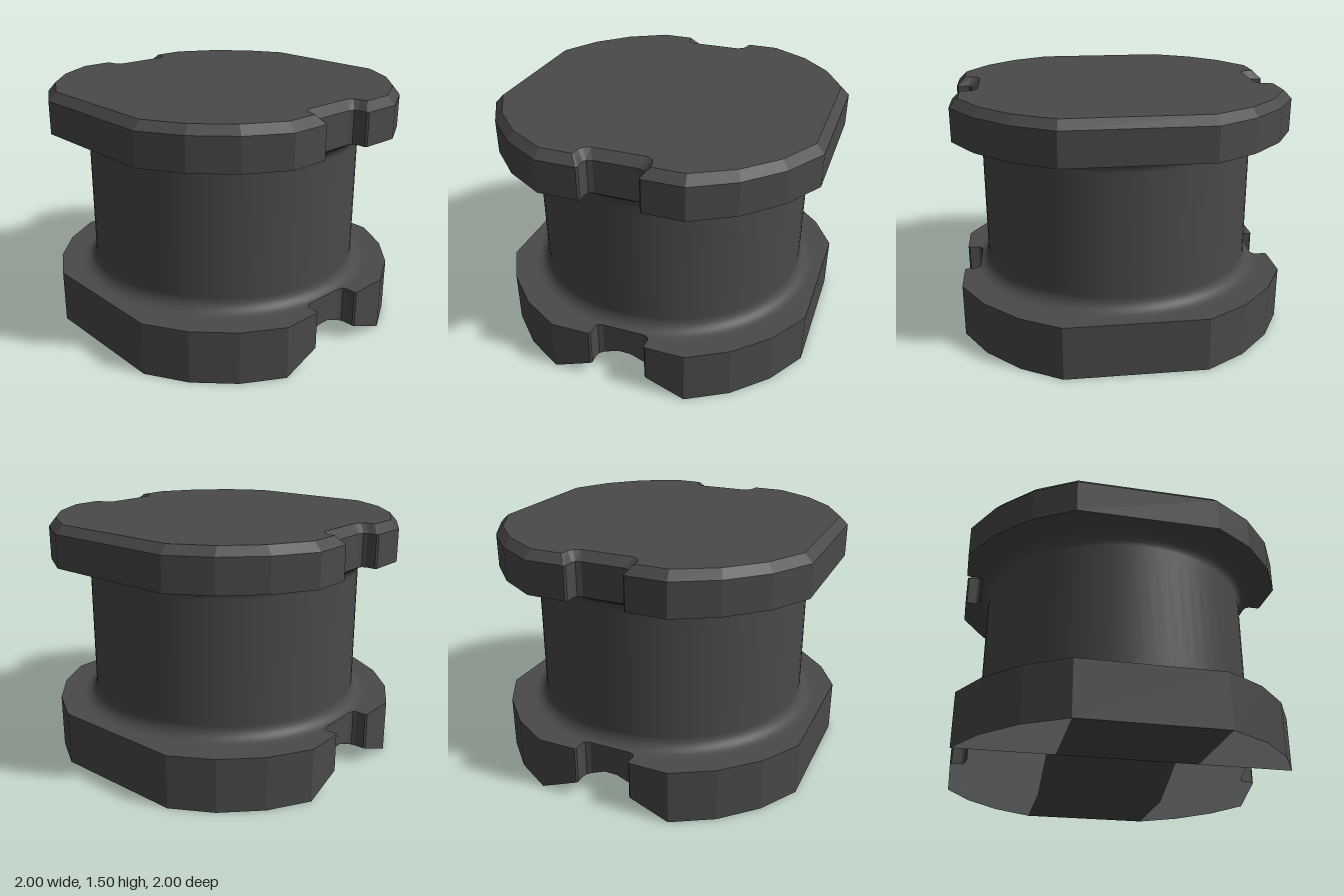
import * as THREE from 'three';

// Quarter outlines as [x, z], from the front flat round to the side notch
const OUTER = [[0.42, 1], [0.66, 0.86], [0.86, 0.66], [1, 0.42], [1, 0.18], [0.99, 0.17],
  [0.93, 0.17], [0.91, 0.16], [0.9, 0.13], [0.9, 0.04]];
const INSET = [[0.41, 0.95], [0.64, 0.82], [0.82, 0.64], [0.95, 0.41], [0.95, 0.22], [0.94, 0.215],
  [0.9, 0.21], [0.87, 0.195], [0.85, 0.16], [0.85, 0.04]];

// Mirror a quarter to the whole +x side, then to a closed ring
const half = (q) => [...q, ...q.map(([x, z]) => [x, -z]).reverse()];
const ring = (q) => [...half(q), ...half(q).map(([x, z]) => [-x, z]).reverse()];

function quad(out, a, b, c, d) {
  for (const [p, q, r] of [[a, b, c], [a, c, d]]) {
    const t = new THREE.Triangle(new THREE.Vector3(...p), new THREE.Vector3(...q), new THREE.Vector3(...r));
    if (t.getArea() > 1e-7) out.push(...p, ...q, ...r);
  }
}

// Wall between two matching outlines; heights are functions of z
function wall(out, qa, ya, qb, yb) {
  const A = ring(qa).map(([x, z]) => [x, ya(z), z]);
  const B = ring(qb).map(([x, z]) => [x, yb(z), z]);
  A.forEach((p, i) => {
    const j = (i + 1) % A.length;
    quad(out, p, A[j], B[j], B[i]);
  });
}

// Face closing an outline in strips along z, limited to lo < x < hi
function cap(out, q, y, up, lo = -2, hi = 2) {
  const rows = half(q).map(([w, z]) => {
    const l = THREE.MathUtils.clamp(-w, lo, hi), r = THREE.MathUtils.clamp(w, lo, hi);
    return [[l, y(z), z], [r, y(z), z]];
  });
  for (let i = 0; i < rows.length - 1; i++) {
    const [a, b] = rows[i], [d, c] = rows[i + 1];
    if (up) quad(out, a, b, c, d);
    else quad(out, d, c, b, a);
  }
}

function toMesh(positions, material, name) {
  const g = new THREE.BufferGeometry();
  g.setAttribute('position', new THREE.Float32BufferAttribute(positions, 3));
  g.computeVertexNormals();
  const m = new THREE.Mesh(g, material);
  m.name = name;
  return m;
}

export function createModel() {
  const ferrite = new THREE.MeshStandardMaterial({ color: 0x4a4a4a });
  ferrite.name = 'dark ferrite';
  const metal = new THREE.MeshStandardMaterial({ color: 0xacafb4 });
  metal.name = 'metal pads';
  const group = new THREE.Group();
  group.name = 'drumInductor';

  const at = (h) => () => h;
  // V-shaped groove across the underside
  const groove = (z) => 0.15 * THREE.MathUtils.clamp((0.42 - Math.abs(z)) / 0.38, 0, 1);

  // Lower flange
  const lower = [];
  wall(lower, OUTER, groove, OUTER, at(0.33));
  cap(lower, OUTER, at(0.33), true);
  cap(lower, OUTER, groove, false, -0.42, 0.42);
  group.add(toMesh(lower, ferrite, 'lowerFlange'));

  // Contact pads on the underside
  for (const [name, lo, hi] of [['leftPad', 0.42, 2], ['rightPad', -2, -0.42]]) {
    const pad = [];
    cap(pad, OUTER, groove, false, lo, hi);
    group.add(toMesh(pad, metal, name));
  }

  // Upper flange with chamfered rim
  const upper = [];
  cap(upper, OUTER, at(1.25), false);
  wall(upper, OUTER, at(1.25), OUTER, at(1.45));
  wall(upper, OUTER, at(1.45), INSET, at(1.5));
  cap(upper, INSET, at(1.5), true);
  group.add(toMesh(upper, ferrite, 'upperFlange'));

  // Round core with fillets at both ends
  const profile = [];
  const n = 8, r = 0.085;
  for (let i = 0; i <= n; i++) {
    const a = (i / n) * Math.PI / 2;
    profile.push(new THREE.Vector2(0.85 + r * (1 - Math.sin(a)), 0.33 + r * (1 - Math.cos(a))));
  }
  for (let i = n; i >= 0; i--) profile.push(new THREE.Vector2(profile[i].x, 1.58 - profile[i].y));
  const coreGeo = new THREE.LatheGeometry(profile, 72);
  const pos = coreGeo.attributes.position;
  // Trim the fillet flush with the notches
  for (let i = 0; i < pos.count; i++) {
    if (Math.abs(pos.getZ(i)) < 0.17) pos.setX(i, THREE.MathUtils.clamp(pos.getX(i), -0.9, 0.9));
  }
  const core = new THREE.Mesh(coreGeo, ferrite);
  core.name = 'core';
  group.add(core);

  return group;
}
